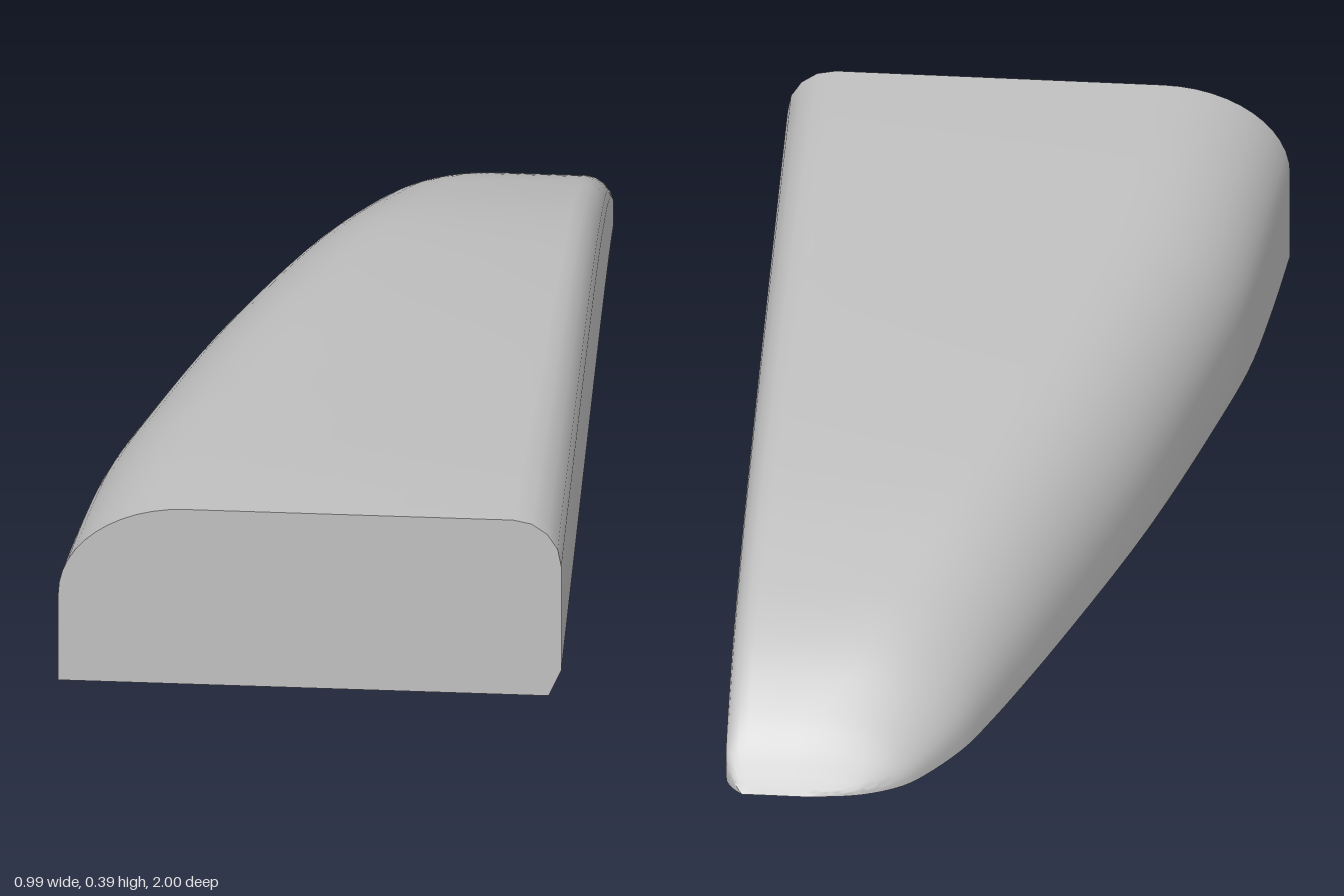
import * as THREE from 'three';
import { toCreasedNormals } from 'three/addons/utils/BufferGeometryUtils.js';

const STATIONS = 56;

// Swept edge: outline x of the curved side, crown height, depth z
const guide = new THREE.CatmullRomCurve3([
  [-0.497, 0.39, 1], [-0.477, 0.388, 0.8], [-0.45, 0.38, 0.6], [-0.403, 0.371, 0.4],
  [-0.292, 0.35, 0], [-0.155, 0.313, -0.4], [-0.08, 0.27, -0.6], [-0.04, 0.24, -0.7],
  [0.005, 0.192, -0.8], [0.072, 0.12, -0.9], [0.115, 0.075, -0.945],
  [0.17, 0.036, -0.975], [0.22, 0.015, -0.99], [0.3, 0, -1],
].map((p) => new THREE.Vector3(...p)), false, 'centripetal');

// One cross-section, from the lower curved side over the top to the straight side
function section(t) {
  const { x: left, y: h, z } = guide.getPoint(t);
  const front = (z + 1) / 2;
  const end = Math.max(0, (-0.94 - z) / 0.06);
  const right = 0.465 + 0.03 * front - 0.035 * end * end;
  const wall = h * (0.12 + 0.38 * front);
  const rx = Math.min(0.25, (right - left) * 0.6);
  const points = [[left, 0]];

  // Broad shoulder on the curved side
  for (let i = 0; i <= 12; i++) {
    const a = (i / 12) * Math.PI / 2;
    points.push([left + rx * (1 - Math.cos(a)), wall + (h - wall) * Math.sin(a)]);
  }
  // Small shoulder on the straight side
  const r = 0.04 + 0.055 * front;
  const drop = h * 0.26;
  for (let i = 0; i <= 4; i++) {
    const a = (i / 4) * Math.PI / 2;
    points.push([right - r * (1 - Math.sin(a)), h - drop * (1 - Math.cos(a))]);
  }
  // Slight undercut at the foot of the straight side
  points.push([right, h * 0.15], [right - 0.025 * front, 0]);
  return points.map(([x, y]) => [x, y, z]);
}

function bodyGeometry() {
  const positions = [];
  const index = [];
  let n = 0;
  for (let i = 0; i <= STATIONS; i++) {
    const ring = section(i / STATIONS);
    n = ring.length;
    positions.push(...ring.flat());
  }
  // Skin and flat underside
  for (let i = 0; i < STATIONS; i++) {
    for (let j = 0; j < n; j++) {
      const a = i * n + j;
      const b = i * n + (j + 1) % n;
      index.push(a, b, a + n, b, b + n, a + n);
    }
  }
  // Flat front face
  for (let j = 1; j < n - 1; j++) index.push(0, j + 1, j);

  const geometry = new THREE.BufferGeometry();
  geometry.setAttribute('position', new THREE.Float32BufferAttribute(positions, 3));
  geometry.setIndex(index);
  return toCreasedNormals(geometry, 0.65);
}

export function createModel() {
  const group = new THREE.Group();
  group.name = 'taperedFairing';
  const grey = new THREE.MeshStandardMaterial({ color: 0xc0c0c0 });
  grey.name = 'light grey';
  const body = new THREE.Mesh(bodyGeometry(), grey);
  body.name = 'fairingBody';
  group.add(body);
  return group;
}
